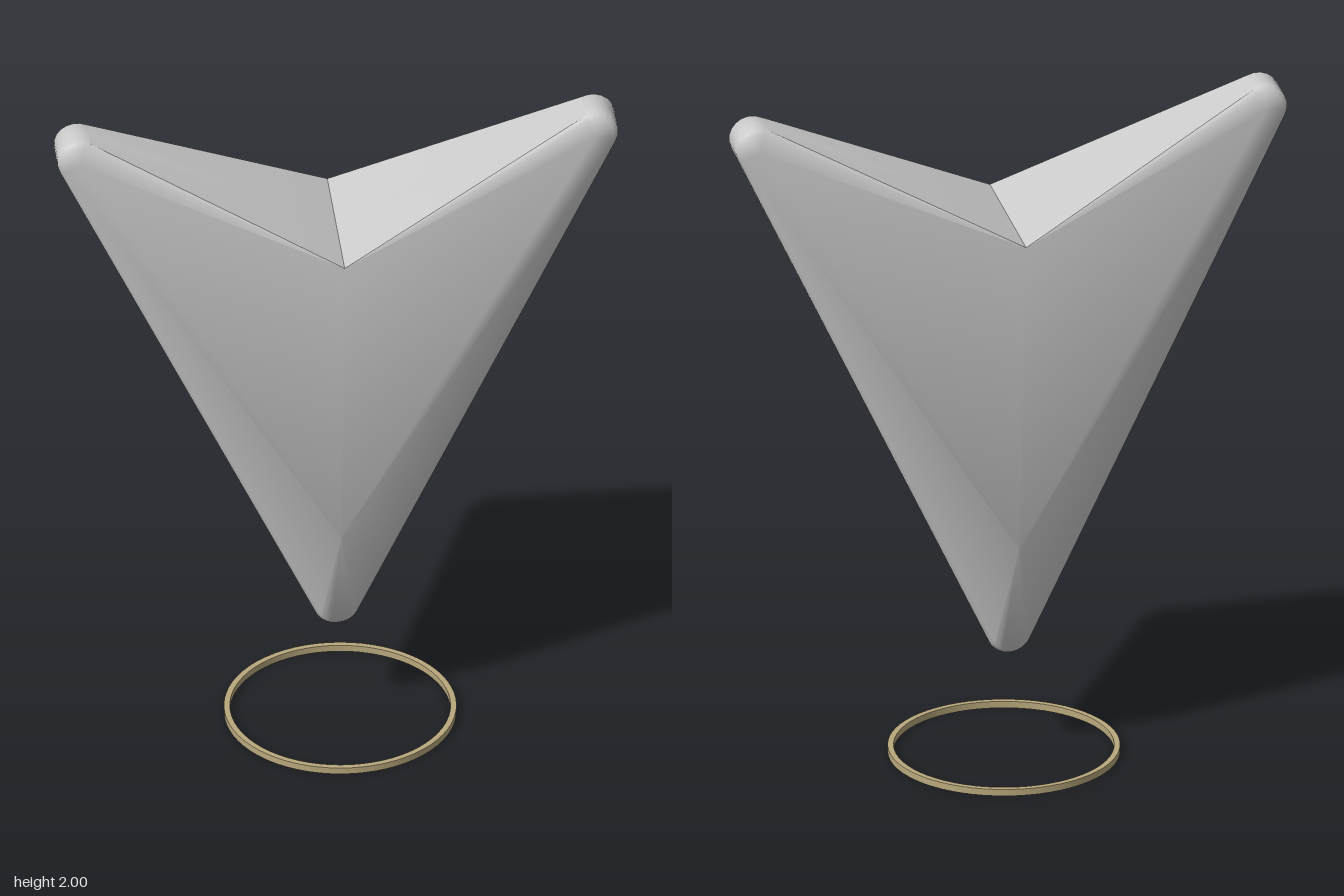
import * as THREE from 'three';
import { toCreasedNormals } from 'three/addons/utils/BufferGeometryUtils.js';

const V = (x, y, z) => new THREE.Vector3(x, y, z);

// One quadrant (x > 0, z > 0) of the arrowhead, as a list of triangles
function arrowQuadrant() {
  const notch = V(0, 1.645, 0.237), notchMid = V(0, 1.645, 0);
  const keel = V(0, 0.68, 0.148), wing = V(0.735, 1.935, 0.07);
  const radius = 0.065, edgeAngle = -0.44, steps = 8;

  // Rounded rim: inner edge, outer edge and middle line at each outline point
  const rim = [];
  const arc = (cx, cy, from, to, half) => {
    for (let i = 0; i <= steps; i++) {
      const a = from + (to - from) * i / steps;
      const at = (r, z) => V(Math.max(0, cx + r * Math.cos(a)), cy + r * Math.sin(a), z);
      rim.push([at(radius - 0.012, half), at(radius, half - 0.013), at(radius, 0)]);
    }
  };
  arc(0, 0.375, -Math.PI / 2, edgeAngle, 0.03);
  arc(0.735, 1.935, edgeAngle, 2.03, 0.064);

  const tris = [];
  rim.slice(1).forEach((next, i) => {
    const cur = rim[i];
    // bevel fans out from the keel, wing tip fans out from its own centre
    tris.push([i <= steps ? keel : wing, cur[0], next[0]]);
    for (let k = 0; k < 2; k++) {
      tris.push([cur[k], cur[k + 1], next[k + 1]], [cur[k], next[k + 1], next[k]]);
    }
  });
  const [inner, outer, mid] = rim[rim.length - 1];
  tris.push([keel, rim[steps + 1][0], wing], [keel, wing, notch], [wing, inner, notch]);
  tris.push([inner, outer, notch], [outer, mid, notchMid], [outer, notchMid, notch]);
  return tris;
}

// Mirror the quadrant into the whole solid, flipping the winding where needed
function arrowGeometry() {
  const pos = [];
  const quadrant = arrowQuadrant();
  for (const sx of [1, -1]) for (const sz of [1, -1]) {
    for (const [a, b, c] of quadrant) {
      // skip slivers
      const area = b.clone().sub(a).cross(c.clone().sub(a)).length();
      if (area < 1e-9) continue;
      for (const p of sx * sz > 0 ? [a, b, c] : [a, c, b]) pos.push(p.x * sx, p.y, p.z * sz);
    }
  }
  const geo = new THREE.BufferGeometry();
  geo.setAttribute('position', new THREE.Float32BufferAttribute(pos, 3));
  return toCreasedNormals(geo, 0.75);
}

// Thin flat hoop with a rectangular section
function hoopGeometry(inner, outer, height) {
  const profile = [[inner, 0], [outer, 0], [outer, height], [inner, height], [inner, 0]];
  const geo = new THREE.LatheGeometry(profile.map(([r, y]) => new THREE.Vector2(r, y)), 64);
  return toCreasedNormals(geo, 0.5);
}

export function createModel() {
  const model = new THREE.Group();
  model.name = 'locationMarker';

  const arrow = new THREE.Mesh(arrowGeometry(), new THREE.MeshStandardMaterial({ color: 0xcccccc }));
  arrow.name = 'arrowhead';
  model.add(arrow);

  const ring = new THREE.Mesh(hoopGeometry(0.313, 0.33, 0.02), new THREE.MeshStandardMaterial({ color: 0xb8a87c }));
  ring.name = 'groundRing';
  ring.position.x = 0.012;
  model.add(ring);

  return model;
}
